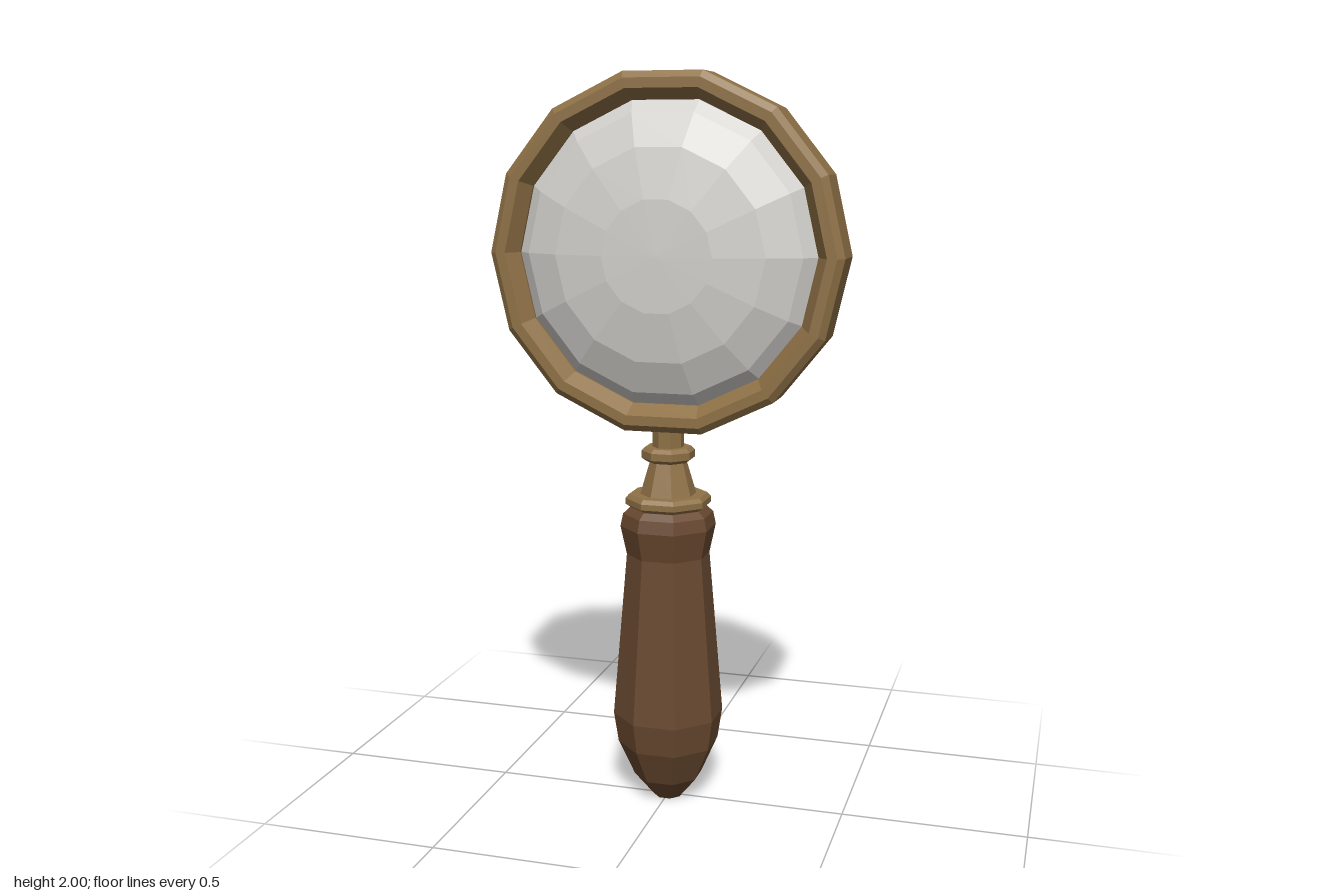
import * as THREE from 'three';

const brass = new THREE.MeshStandardMaterial({ name: 'brass', color: 0x8f7146 });
const wood = new THREE.MeshStandardMaterial({ name: 'darkWood', color: 0x694930 });
const glass = new THREE.MeshStandardMaterial({ name: 'paleGlass', color: 0xd2d0cc });
for (const m of [brass, wood, glass]) m.flatShading = true;

const RING_SIDES = 14;
const RING_Y = 1.529;

// Low-poly turned part; profile points are [radius, height], listed bottom to top
function turned(name, profile, sides, material, phi = 0, scale = 1) {
  const points = profile.map(([r, y]) => new THREE.Vector2(r * scale, y));
  const mesh = new THREE.Mesh(new THREE.LatheGeometry(points, sides, phi), material);
  mesh.name = name;
  return mesh;
}

// Octagonal part measured across its flats, with a flat facing the front
const octagonal = (name, profile, material) =>
  turned(name, profile, 8, material, Math.PI / 8, 1 / Math.cos(Math.PI / 8));

export function createModel() {
  const model = new THREE.Group();
  model.name = 'magnifyingGlass';

  // Wooden grip with a swollen lower end and a bead at the top
  model.add(octagonal('grip', [
    [0, 0], [0.037, 0], [0.088, 0.065], [0.130, 0.165], [0.142, 0.25],
    [0.106, 0.71], [0.122, 0.79], [0.115, 0.825], [0.098, 0.842], [0, 0.842],
  ], wood));

  // Brass ferrule: collar, tapered socket, small disc and neck
  model.add(octagonal('collar', [
    [0, 0.84], [0.092, 0.84], [0.109, 0.852], [0.109, 0.868], [0.1, 0.879], [0, 0.879],
  ], brass));
  model.add(octagonal('socket', [[0.072, 0.876], [0.045, 0.975]], brass));
  model.add(octagonal('disc', [
    [0, 0.97], [0.055, 0.97], [0.068, 0.98], [0.068, 1.0], [0.058, 1.01], [0, 1.01],
  ], brass));
  model.add(octagonal('neck', [[0.04, 1.005], [0.04, 1.075]], brass));

  // Lens head, turned about the z axis
  const head = new THREE.Group();
  head.name = 'lensHead';
  head.position.y = RING_Y;
  head.rotation.x = Math.PI / 2;
  model.add(head);

  // Bevelled frame as one closed section
  head.add(turned('frame', [
    [0.409, -0.03], [0.438, -0.071], [0.465, -0.071], [0.483, -0.056],
    [0.483, 0.056], [0.465, 0.071], [0.438, 0.071], [0.409, 0.03], [0.409, -0.03],
  ], RING_SIDES, brass, Math.PI / 2));

  // Lens bulging on both faces
  const half = [[0, 0.121], [0.15, 0.117], [0.285, 0.094], [0.375, 0.055], [0.412, 0.02]];
  const lower = half.map(([r, z]) => [r, -z]);
  head.add(turned('lens', [...lower, ...half.reverse()], RING_SIDES, glass, Math.PI / 2));

  return model;
}
